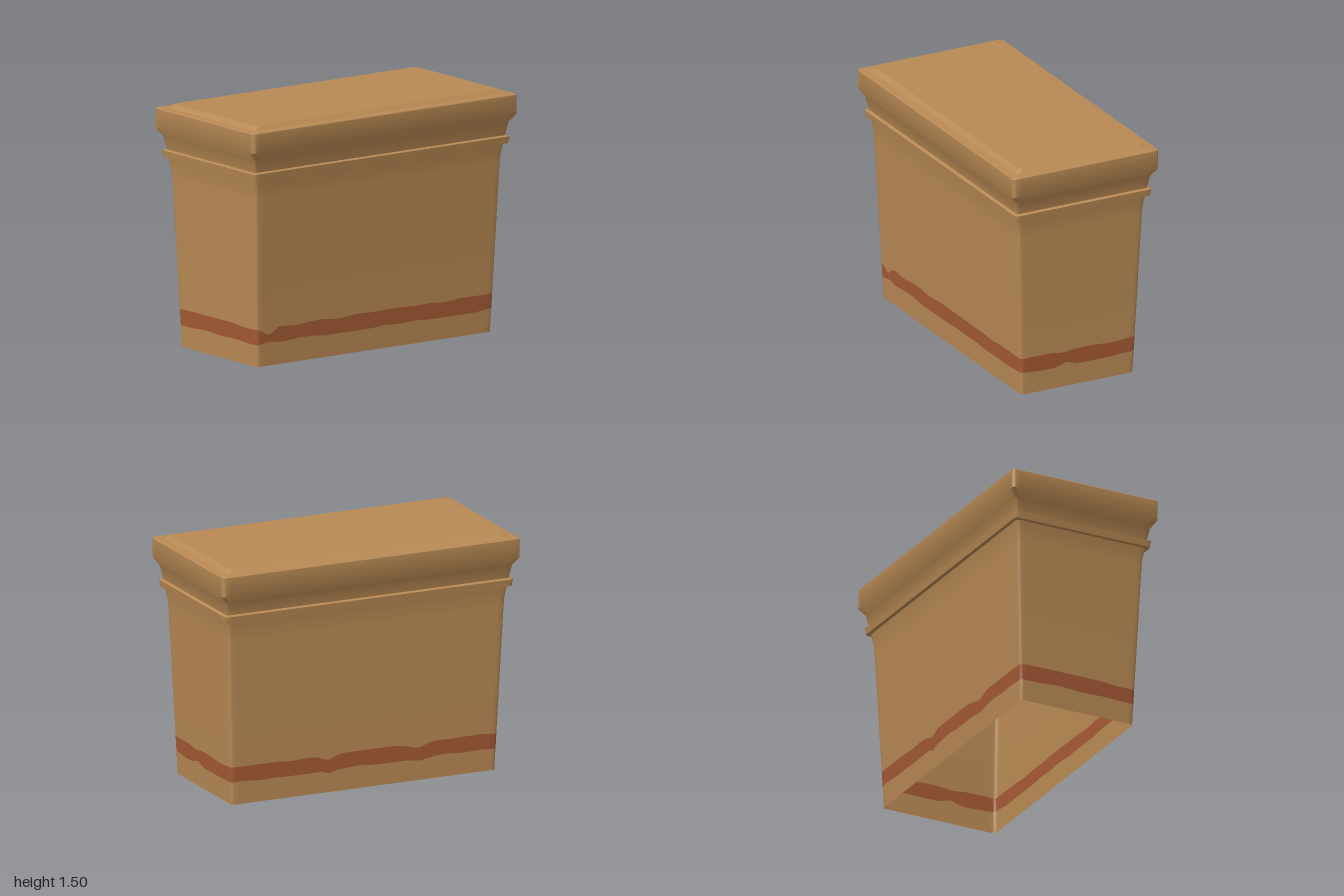
import * as THREE from 'three';
import { toCreasedNormals } from 'three/addons/utils/BufferGeometryUtils.js';

const clay = new THREE.MeshStandardMaterial({ color: 0xb98a54, side: THREE.DoubleSide });
clay.name = 'tan clay';
const rust = new THREE.MeshStandardMaterial({ color: 0xa65a35, side: THREE.DoubleSide });
rust.name = 'rust paint';

// Rounded rectangle outline; the depth is always one unit less than the width
function outline(hx) {
  const hz = hx - 0.5, r = 0.018, pts = [];
  const corners = [[-1, 1], [1, 1], [1, -1], [-1, -1]];
  corners.forEach(([sx, sz], k) => {
    // corner arc
    const cx = sx * (hx - r), cz = sz * (hz - r);
    for (let i = 0; i <= 3; i++) {
      const a = Math.PI + k * Math.PI / 2 + (i / 3) * Math.PI / 2;
      pts.push([cx + r * Math.cos(a), cz - r * Math.sin(a)]);
    }
    // straight side up to the next corner
    const [nx, nz] = corners[(k + 1) % 4];
    const from = pts[pts.length - 1];
    const to = k % 2 === 0
      ? [nx * (hx - r), from[1]]
      : [from[0], nz * (hz - r)];
    const n = k % 2 === 0 ? 60 : 28;
    for (let i = 1; i < n; i++) {
      pts.push([from[0] + (to[0] - from[0]) * i / n, from[1] + (to[1] - from[1]) * i / n]);
    }
  });
  return pts;
}

// Half width of the tapered wall at a height
const wall = (y) => 0.885 + 0.041 * y;

// Ring of points at a constant height, or at a height that varies around the wall
const flatRing = (hx, y) => outline(hx).map(([x, z]) => [x, y, z]);
function wavyRing(heightAt) {
  const base = outline(wall(0.19));
  return base.map(([x, z]) => {
    const y = heightAt(x, z);
    const d = wall(y) - wall(0.19);
    return [x + Math.sign(x) * d * Math.abs(x) / 0.89, y, z + Math.sign(z) * d * Math.abs(z) / 0.39];
  });
}

// Skin between successive rings
function loft(name, rings, material) {
  const n = rings[0].length, index = [];
  for (let j = 0; j < rings.length - 1; j++) {
    for (let i = 0; i < n; i++) {
      const a = j * n + i, b = j * n + (i + 1) % n;
      index.push(a, b, b + n, a, b + n, a + n);
    }
  }
  const geo = new THREE.BufferGeometry();
  geo.setAttribute('position', new THREE.Float32BufferAttribute(rings.flat(2), 3));
  geo.setIndex(index);
  const mesh = new THREE.Mesh(toCreasedNormals(geo, 0.6), material);
  mesh.name = name;
  return mesh;
}

// Worn paint edges: gentle ripples, cut flat at the limit, with a few chips
const bump = (d, w) => Math.exp(-((d / w) ** 2));
const ripple = (x, z, p) =>
  Math.max(0, 0.005 * Math.sin(9 * x + 7 * z + p) + 0.004 * Math.sin(23 * x - 17 * z + 2 * p) + 0.001);
const front = (z) => (z > 0.37 ? 1 : 0);
const back = (z) => (z < -0.37 ? 1 : 0);
const side = (x) => (x > 0.87 ? 1 : 0);
const paintTop = (x, z) => 0.238 - ripple(x, z, 1)
  - front(z) * (0.04 * bump(x + 0.8, 0.05) + 0.012 * bump(x + 0.6, 0.08))
  - back(z) * (0.025 * bump(x - 0.24, 0.05) + 0.025 * bump(x + 0.37, 0.06))
  - side(x) * 0.008 * bump(z - 0.1, 0.05);
const paintBottom = (x, z) => 0.135 + ripple(x, z, 3.5)
  + front(z) * (0.012 * bump(x + 0.8, 0.05) + 0.008 * bump(x + 0.6, 0.06))
  - back(z) * (0.02 * bump(x - 0.24, 0.03) + 0.012 * bump(x + 0.37, 0.05))
  + side(x) * 0.02 * bump(z - 0.08, 0.05);

export function createModel() {
  const group = new THREE.Group();
  group.name = 'planterBox';

  // Open-bottomed tapered wall with the painted band
  const low = wavyRing(paintBottom), high = wavyRing(paintTop);
  group.add(loft('foot', [flatRing(wall(0), 0), low], clay));
  group.add(loft('paintedBand', [low, high], rust));
  group.add(loft('wall', [
    high, flatRing(0.927, 1.04), flatRing(0.931, 1.1), flatRing(0.943, 1.167),
  ], clay));

  // Raised trim, neck and overhanging rim
  const upper = [
    [0.943, 1.167], [0.964, 1.17], [0.97, 1.213], [0.95, 1.219],
    [0.966, 1.3], [1, 1.352], [1, 1.47], [0.995, 1.475], [0.945, 1.477], [0.92, 1.5],
  ];
  group.add(loft('trimAndRim', upper.map(([hx, y]) => flatRing(hx, y)), clay));

  // Flat raised top panel
  const shape = new THREE.Shape(outline(0.92).map(([x, z]) => new THREE.Vector2(x, -z)));
  const top = new THREE.Mesh(new THREE.ShapeGeometry(shape).rotateX(-Math.PI / 2), clay);
  top.position.y = 1.5;
  top.name = 'topPanel';
  group.add(top);

  return group;
}
